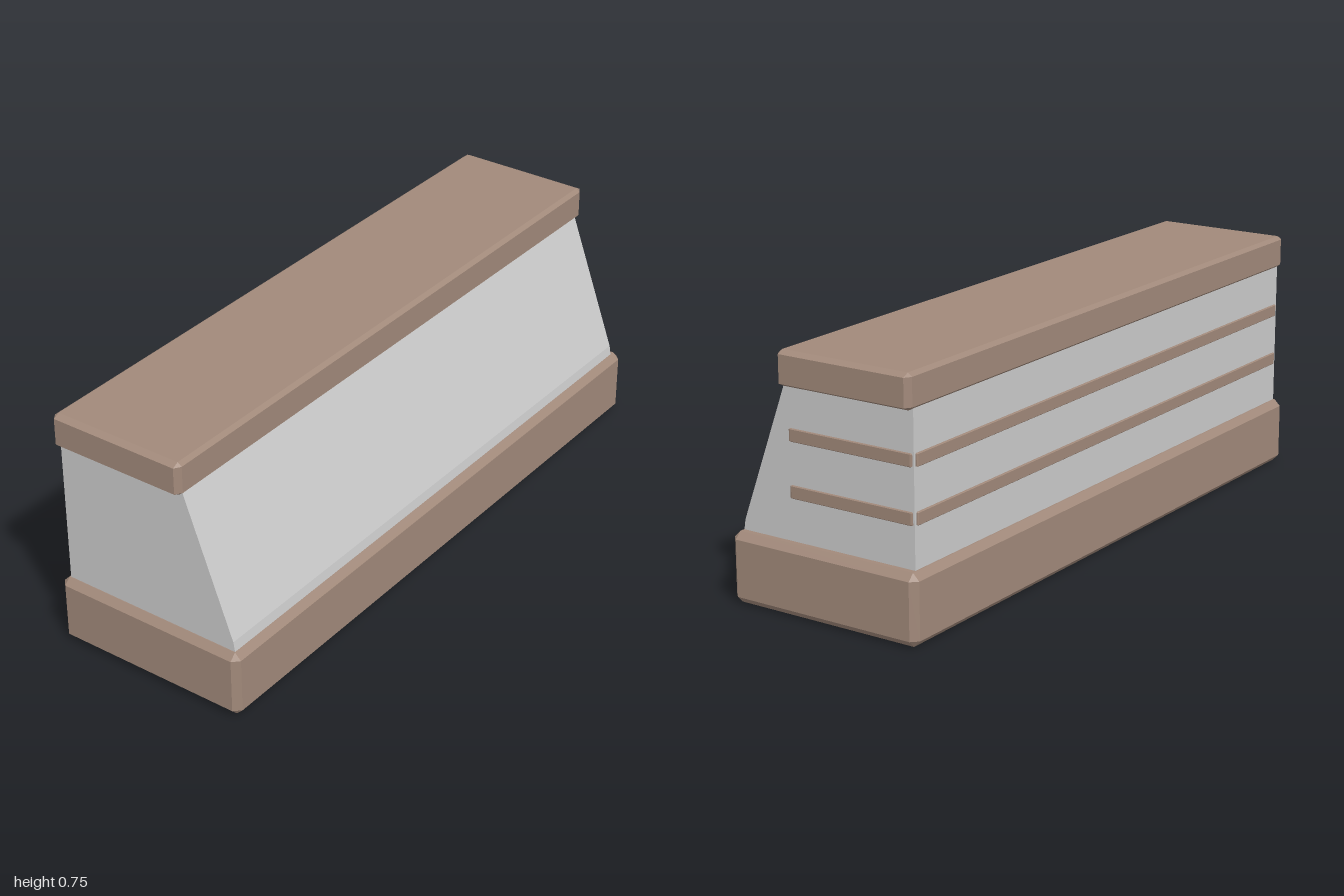
import * as THREE from 'three';
import { ConvexGeometry } from 'three/addons/geometries/ConvexGeometry.js';

const trimMaterial = new THREE.MeshStandardMaterial({ color: 0xa1897a });
const bodyMaterial = new THREE.MeshStandardMaterial({ color: 0xcccccc });

// Box between two corners with every edge bevelled by (bx, by, bz)
function bevelledBox(name, min, max, [bx, by, bz]) {
  const points = [];
  const [cx, cy, cz] = min.map((m, i) => (m + max[i]) / 2);
  const [hx, hy, hz] = min.map((m, i) => (max[i] - m) / 2);
  for (const sx of [-1, 1]) for (const sy of [-1, 1]) for (const sz of [-1, 1]) {
    points.push(
      new THREE.Vector3(sx * hx, sy * (hy - by), sz * (hz - bz)),
      new THREE.Vector3(sx * (hx - bx), sy * hy, sz * (hz - bz)),
      new THREE.Vector3(sx * (hx - bx), sy * (hy - by), sz * hz)
    );
  }
  const mesh = new THREE.Mesh(new ConvexGeometry(points), trimMaterial);
  mesh.position.set(cx, cy, cz);
  mesh.name = name;
  return mesh;
}

export function createModel() {
  const model = new THREE.Group();
  model.name = 'counter';

  // Plinth and counter top
  model.add(bevelledBox('base', [-1, 0, -0.315], [1, 0.207, 0.315], [0.02, 0.02, 0.02]));
  model.add(bevelledBox('counterTop', [-1, 0.647, -0.301], [1, 0.748, 0.138], [0.02, 0.01, 0.013]));

  // Body with a sloping front, extruded along x from its (z, y) profile
  const left = 0.964, right = -0.978;
  const profile = new THREE.Shape([
    [-0.291, 0.19], [0.296, 0.19], [0.294, 0.207], [0.289, 0.237], [0.134, 0.655], [-0.291, 0.655],
  ].map(([z, y]) => new THREE.Vector2(z, y)));
  const bodyGeometry = new THREE.ExtrudeGeometry(profile, { depth: left - right, bevelEnabled: false });
  bodyGeometry.rotateY(-Math.PI / 2).translate(left, 0, 0);
  const body = new THREE.Mesh(bodyGeometry, bodyMaterial);
  body.name = 'body';
  model.add(body);

  // Thin slats across the left end and the back
  for (const y of [0.33, 0.49]) {
    const top = y + 0.037;
    model.add(bevelledBox('endSlat', [0.955, y, -0.286], [0.97, top, 0.122], [0.002, 0.002, 0.004]));
    model.add(bevelledBox('backSlat', [-0.967, y, -0.297], [0.957, top, -0.282], [0.004, 0.002, 0.002]));
  }
  return model;
}
